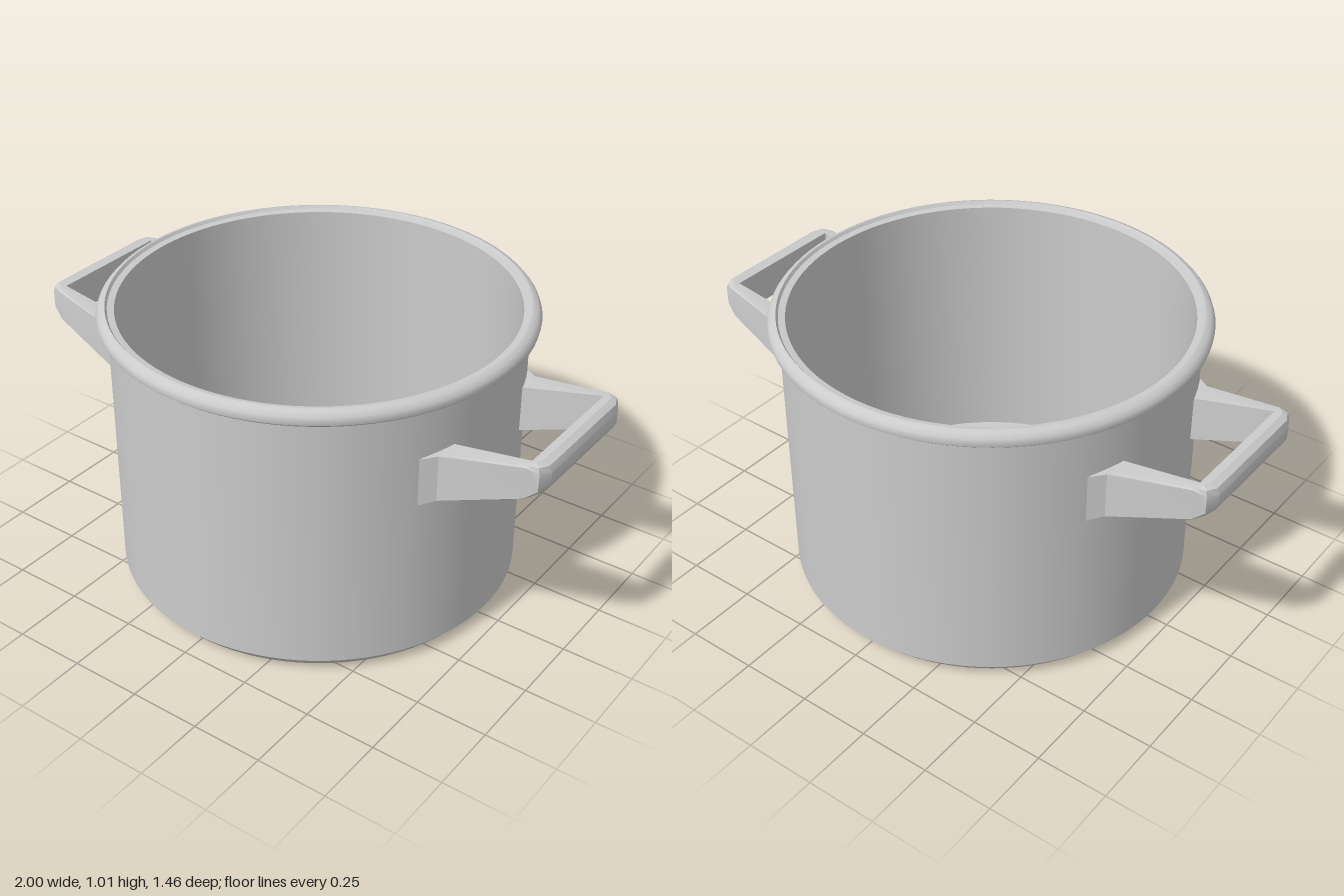
import * as THREE from 'three';
import { toCreasedNormals } from 'three/addons/utils/BufferGeometryUtils.js';

const material = new THREE.MeshStandardMaterial({ color: 0xcccccc });

// Pot shell: chamfered base, straight wall, rolled rim, hollow inside
function createBody() {
  const profile = [
    [0, 0], [0.66, 0], [0.695, 0.04], [0.695, 0.95],
    [0.715, 0.953], [0.727, 0.963], [0.73, 0.978], [0.726, 0.99], [0.715, 1.003], [0.7, 1.008],
    [0.693, 0.998], [0.67, 0.995], [0.667, 0.04], [0, 0.04],
  ].map(([x, y]) => new THREE.Vector2(x, y));
  const mesh = new THREE.Mesh(toCreasedNormals(new THREE.LatheGeometry(profile, 96), 0.6), material);
  mesh.name = 'potBody';
  return mesh;
}

// Handle: a tapered section swept from one foot, around the grip, to the other foot
function createHandle() {
  // Half of the stations: outer x, outer z, inner x, inner z, edge rounding
  const half = [
    [0.615, 0.33, 0.65, 0.205, 0],
    [0.66, 0.293, 0.67, 0.207, 0],
    [0.94, 0.262, 0.94, 0.225, 0.2],
    [0.98, 0.25, 0.94, 0.223, 0.7],
    [1.0, 0.21, 0.94, 0.22, 1],
  ];
  const stations = [...half, ...half.slice().reverse().map(([a, b, c, d, r]) => [a, -b, c, -d, r])];

  // Section: distance from inner to outer side, top or bottom, inset in height
  const section = [
    [0, 0, 0], [0.45, 0, 0.008], [0.85, 0, 0.025], [1, 0, 0.045],
    [1, 1, 0.035], [0.85, 1, 0.012], [0.5, 1, 0], [0, 1, 0],
  ];
  const positions = [];
  for (const [xo, zo, xi, zi, r] of stations) {
    for (const [u, top, inset] of section) {
      const x = THREE.MathUtils.lerp(xi, xo, u);
      const z = THREE.MathUtils.lerp(zi, zo, u);
      const slopeX = Math.min(x, 0.97) - 0.615;
      const y = top ? 0.78 + slopeX * 0.21 - inset * r : 0.61 + slopeX * 0.35 + inset * r;
      positions.push(x, y, z);
    }
  }
  const n = section.length;
  const index = [];
  for (let i = 0; i < stations.length - 1; i++) {
    for (let j = 0; j < n; j++) {
      const a = i * n + j, b = i * n + (j + 1) % n;
      const d = a + n, c = b + n;
      index.push(a, d, b, b, d, c);
    }
  }
  const geometry = new THREE.BufferGeometry();
  geometry.setAttribute('position', new THREE.Float32BufferAttribute(positions, 3));
  geometry.setIndex(index);
  return new THREE.Mesh(toCreasedNormals(geometry, 0.5), material);
}

export function createModel() {
  const model = new THREE.Group();
  model.name = 'cookingPot';
  model.add(createBody());

  // Matching handles on both sides
  for (const [name, turn] of [['leftHandle', 0], ['rightHandle', Math.PI]]) {
    const handle = createHandle();
    handle.name = name;
    handle.rotation.y = turn;
    model.add(handle);
  }
  return model;
}
